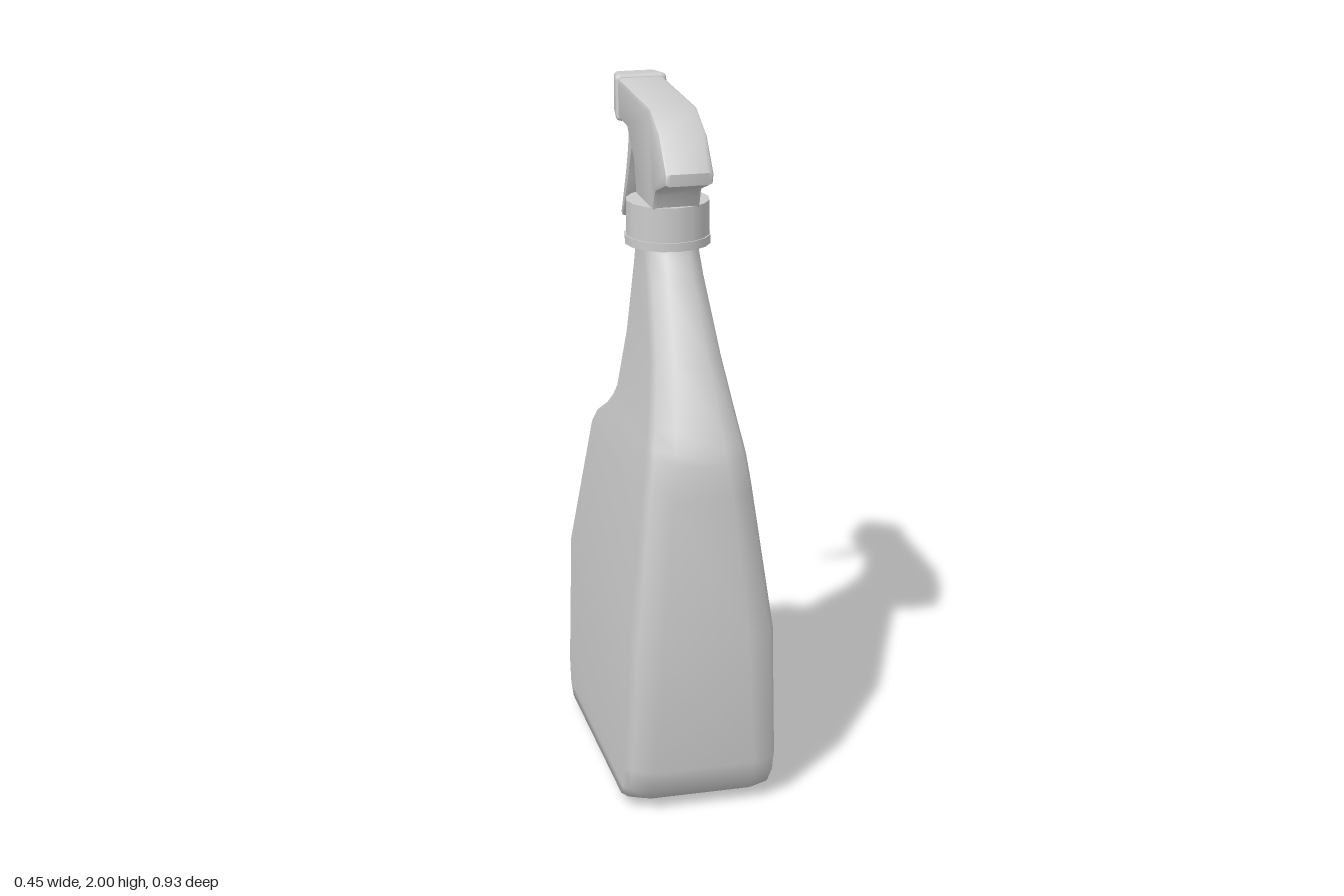
import * as THREE from 'three';
import { toCreasedNormals } from 'three/addons/utils/BufferGeometryUtils.js';
import { RoundedBoxGeometry } from 'three/addons/geometries/RoundedBoxGeometry.js';

const material = new THREE.MeshStandardMaterial({ color: 0xcccccc, side: THREE.DoubleSide });

function add(group, name, geometry, x = 0, y = 0, z = 0) {
  const mesh = new THREE.Mesh(geometry, material);
  mesh.name = name;
  mesh.position.set(x, y, z);
  group.add(mesh);
  return mesh;
}

// Side profile of (z, y) points, given a width along x and bevelled edges
function sideExtrude(points, width, bevel) {
  const shape = new THREE.Shape(points.map(([z, y]) => new THREE.Vector2(z, y)));
  const depth = width - 2 * bevel;
  const geometry = new THREE.ExtrudeGeometry(shape, {
    depth, bevelEnabled: true, bevelSize: bevel, bevelThickness: bevel,
    bevelOffset: -bevel, bevelSegments: 2,
  });
  geometry.translate(0, 0, -depth / 2);
  geometry.rotateY(-Math.PI / 2);
  return toCreasedNormals(geometry, 0.75);
}

// One level of the bottle: a rectangle with rounded-off corners
function bottleRing([y, front, back, w]) {
  const cx = w * (0.33 + 0.15 * y);
  const cz = 0.055 + 0.015 * y;
  const half = [
    [w - cx, front], [w - 0.2 * cx, front - 0.5 * cz], [w, front - cz],
    [w, back + cz], [w - 0.2 * cx, back + 0.5 * cz], [w - cx, back],
  ];
  const mirrored = half.map(([x, z]) => [-x, z]).reverse();
  return [...half, ...mirrored].map(([x, z]) => [x, y, z]);
}

function bottleGeometry() {
  // height, front z, back z, half width
  const levels = [
    [0, 0.33, -0.33, 0.155],
    [0.035, 0.395, -0.385, 0.222],
    [0.07, 0.42, -0.412, 0.224],
    [0.14, 0.445, -0.438, 0.222],
    [0.54, 0.463, -0.463, 0.209],
    [0.95, 0.412, -0.38, 0.158],
    [0.985, 0.408, -0.35, 0.153],
    [1.04, 0.4, -0.25, 0.145],
    [1.08, 0.385, -0.2, 0.138],
    [1.13, 0.362, -0.163, 0.129],
    [1.3, 0.28, -0.154, 0.102],
    [1.5, 0.16, -0.141, 0.083],
    [1.56, 0.125, -0.133, 0.08],
    [1.62, 0.1, -0.1, 0.08],
  ];
  const n = 12;
  const positions = levels.flatMap(bottleRing);
  const index = [];
  for (let i = 0; i < levels.length - 1; i++) {
    for (let j = 0; j < n; j++) {
      const a = i * n + j, b = i * n + (j + 1) % n;
      index.push(a, b, a + n, b, b + n, a + n);
    }
  }
  // Flat base
  const base = positions.length;
  positions.push(...bottleRing(levels[0]), [0, 0, 0]);
  for (let j = 0; j < n; j++) index.push(base + n, base + (j + 1) % n, base + j);

  const geometry = new THREE.BufferGeometry();
  geometry.setAttribute('position', new THREE.Float32BufferAttribute(positions.flat(), 3));
  geometry.setIndex(index);
  geometry.computeVertexNormals();
  return geometry;
}

// Rounded block that widens towards the head
function nozzleBlockGeometry() {
  const geometry = new RoundedBoxGeometry(0.14, 0.13, 0.1, 2, 0.014);
  const p = geometry.attributes.position;
  for (let i = 0; i < p.count; i++) {
    const t = p.getZ(i) / 0.1;
    p.setX(i, p.getX(i) * (1 + 0.25 * t));
    p.setY(i, p.getY(i) * (1 + 0.1 * t));
    p.setZ(i, p.getZ(i) - p.getY(i) * 0.1 * (t + 0.5));
  }
  geometry.computeVertexNormals();
  return geometry;
}

export function createModel() {
  const model = new THREE.Group();
  model.name = 'sprayBottle';

  add(model, 'bottle', bottleGeometry());

  // Screw cap with a rim at its foot
  add(model, 'cap', new THREE.CylinderGeometry(0.119, 0.119, 0.1, 16), 0, 1.655);
  add(model, 'capRim', new THREE.CylinderGeometry(0.123, 0.123, 0.025, 16), 0, 1.593);

  // Spray head with its foot in the cap
  add(model, 'sprayHead', sideExtrude([
    [0.095, 1.68], [0.115, 1.74], [0.13, 1.757], [0.247, 1.798], [0.25, 1.832],
    [0.168, 1.928], [0.065, 1.978], [-0.34, 1.988], [-0.34, 1.868], [-0.21, 1.865],
    [-0.13, 1.79], [-0.1, 1.7], [-0.095, 1.68],
  ], 0.14, 0.015));

  // Nozzle, stepped down towards the back
  add(model, 'nozzleBlock', nozzleBlockGeometry(), 0, 1.93, -0.36);
  const steps = [['nozzleCollar', 0.05, -0.42, 0.035], ['nozzleTip', 0.028, -0.448, 0.037]];
  for (const [name, radius, z, length] of steps) {
    const geometry = new THREE.CylinderGeometry(radius, radius, length, 12);
    geometry.rotateX(Math.PI / 2);
    add(model, name, geometry, 0, 1.932, z);
  }

  // Curved trigger
  add(model, 'trigger', sideExtrude([
    [-0.21, 1.88], [-0.24, 1.85], [-0.275, 1.8], [-0.33, 1.685], [-0.36, 1.63], [-0.405, 1.558],
    [-0.417, 1.566], [-0.385, 1.635], [-0.355, 1.7], [-0.325, 1.78], [-0.305, 1.88],
  ], 0.08, 0.006));

  return model;
}
